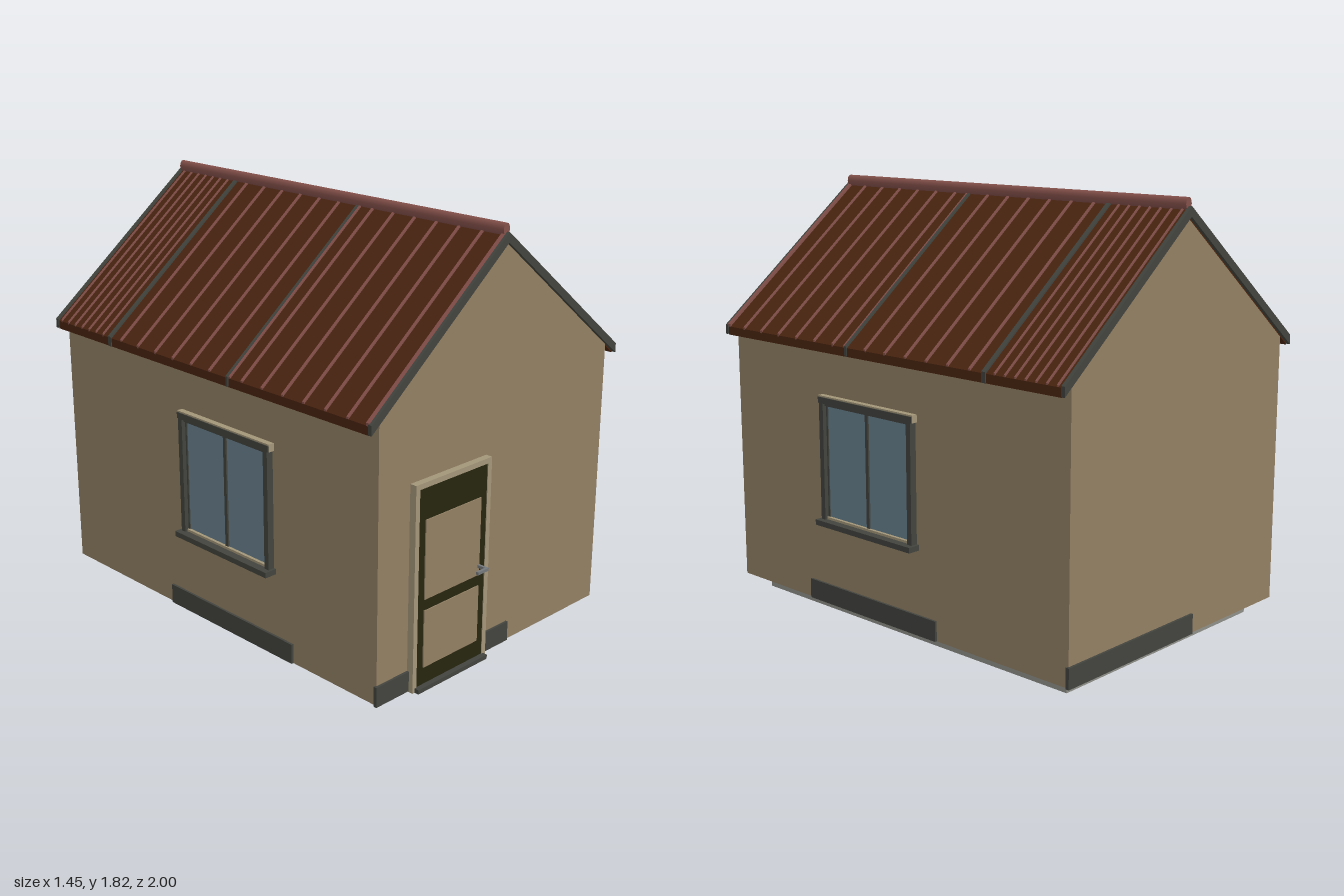
import * as THREE from 'three';

const mat = (name, color) => {
  const m = new THREE.MeshStandardMaterial({ color });
  m.name = name;
  return m;
};

export function createModel() {
  const house = new THREE.Group();
  house.name = 'house';

  const wall = mat('tan render', 0x927f63);
  const roofBrown = mat('brown roofing', 0x4a2410);
  const ridgeRed = mat('dusty red metal', 0x84504a);
  const grey = mat('dark grey trim', 0x42443e);
  const doorDark = mat('dark olive door', 0x26250f);
  const beige = mat('light beige frame', 0xa39679);
  const glass = mat('blue grey glass', 0x69818f);
  const stone = mat('grey stone', 0x8f8f88);
  const steel = mat('handle steel', 0x74777a);

  // Box given by its limits on each axis
  const box = (parent, name, m, x0, x1, y0, y1, z0, z1) => {
    const mesh = new THREE.Mesh(new THREE.BoxGeometry(x1 - x0, y1 - y0, z1 - z0), m);
    mesh.position.set((x0 + x1) / 2, (y0 + y1) / 2, (z0 + z1) / 2);
    mesh.name = name;
    parent.add(mesh);
    return mesh;
  };

  // Outline in x and y, extruded from z0 to z1
  const prism = (parent, name, m, pts, z0, z1) => {
    const shape = new THREE.Shape(pts.map(([x, y]) => new THREE.Vector2(x, y)));
    const geo = new THREE.ExtrudeGeometry(shape, { depth: z1 - z0, bevelEnabled: false });
    geo.translate(0, 0, z0);
    const mesh = new THREE.Mesh(geo, m);
    mesh.name = name;
    parent.add(mesh);
    return mesh;
  };

  // Gabled band following both roof slopes
  const SLOPE = 0.8;
  const chevron = (name, m, half, top, thick, z0, z1) => {
    const eave = top - half * SLOPE;
    return prism(roof, name, m, [
      [-half, eave - thick], [0, top - thick], [half, eave - thick],
      [half, eave], [0, top], [-half, eave],
    ], z0, z1);
  };

  // Foundation and walls
  box(house, 'foundation', stone, -0.59, 0.59, 0, 0.07, -0.91, 0.845);
  prism(house, 'walls', wall, [
    [-0.67, 0.065], [0.67, 0.065], [0.67, 1.22], [0, 1.755], [-0.67, 1.22],
  ], -0.985, 0.92);

  // Plinth boards
  box(house, 'frontPlinth', grey, -0.68, 0.09, 0.065, 0.15, 0.915, 0.93);
  box(house, 'backPlinth', grey, -0.09, 0.68, 0.065, 0.15, -0.995, -0.98);

  // Roof with verge trims, standing ribs and two seams
  const roof = new THREE.Group();
  roof.name = 'roof';
  house.add(roof);
  chevron('roofPanels', roofBrown, 0.72, 1.777, 0.036, -0.985, 0.92);
  chevron('frontVerge', grey, 0.724, 1.787, 0.04, 0.918, 0.935);
  chevron('backVerge', grey, 0.724, 1.787, 0.04, -1, -0.983);
  chevron('frontVergeCap', ridgeRed, 0.722, 1.79, 0.012, 0.905, 0.922);
  const rib = (z, w, m = ridgeRed) => chevron('roofRib', m, 0.72, 1.785, 0.012, z - w / 2, z + w / 2);
  for (let i = 0; i < 6; i++) rib(0.81 - i * 0.115, 0.011);
  for (let i = 0; i < 6; i++) rib(0.042 - i * 0.115, 0.011);
  for (let i = 0; i < 7; i++) rib(-0.66 - i * 0.0505, 0.007);
  rib(0.164, 0.009);
  chevron('seam', grey, 0.724, 1.787, 0.042, 0.145, 0.158);
  chevron('seam', grey, 0.724, 1.787, 0.042, -0.618, -0.598);

  // Ridge cap
  const ridge = new THREE.Mesh(new THREE.CylinderGeometry(0.018, 0.018, 1.905, 12), ridgeRed);
  ridge.rotation.x = Math.PI / 2;
  ridge.scale.z = 1.4;
  ridge.position.set(0, 1.795, -0.0325);
  ridge.name = 'ridgeCap';
  roof.add(ridge);

  // Windows and side plinths on both long walls
  for (const s of [1, -1]) {
    const win = new THREE.Group();
    win.name = s > 0 ? 'leftWindow' : 'rightWindow';
    house.add(win);
    const part = (name, m, x0, x1, y0, y1, z0, z1) =>
      box(win, name, m, s > 0 ? x0 : -x1, s > 0 ? x1 : -x0, y0, y1, z0, z1);
    part('sidePlinth', grey, 0.665, 0.68, 0.065, 0.15, -0.3, 0.46);
    part('windowSill', grey, 0.665, 0.725, 0.422, 0.445, -0.205, 0.362);
    part('sillStrip', beige, 0.665, 0.69, 0.445, 0.455, -0.17, 0.33);
    part('lintel', beige, 0.665, 0.696, 0.943, 0.975, -0.2, 0.36);
    part('lintelFace', grey, 0.696, 0.7, 0.943, 0.969, -0.198, 0.358);
    part('jamb', grey, 0.665, 0.7, 0.445, 0.943, 0.328, 0.352);
    part('jamb', grey, 0.665, 0.7, 0.445, 0.943, -0.192, -0.168);
    part('headRail', grey, 0.665, 0.69, 0.932, 0.943, -0.168, 0.328);
    part('mullion', grey, 0.665, 0.684, 0.455, 0.932, 0.072, 0.088);
    part('sashEdge', grey, 0.665, 0.682, 0.455, 0.932, 0.32, 0.328);
    part('sashEdge', grey, 0.665, 0.682, 0.455, 0.932, -0.168, -0.16);
    part('glassPane', glass, 0.668, 0.677, 0.455, 0.932, 0.088, 0.32);
    part('glassPane', glass, 0.668, 0.677, 0.455, 0.932, -0.16, 0.072);
  }

  // Front door
  const door = new THREE.Group();
  door.name = 'door';
  house.add(door);
  box(door, 'doorJamb', beige, -0.502, -0.48, 0.062, 0.922, 0.915, 0.95);
  box(door, 'doorJamb', beige, -0.095, -0.073, 0.062, 0.922, 0.915, 0.95);
  box(door, 'doorHead', beige, -0.48, -0.095, 0.9, 0.922, 0.915, 0.95);
  box(door, 'threshold', grey, -0.49, -0.085, 0.062, 0.08, 0.915, 0.97);
  box(door, 'doorLeaf', doorDark, -0.48, -0.095, 0.08, 0.9, 0.915, 0.947);
  box(door, 'upperPanel', wall, -0.445, -0.13, 0.442, 0.77, 0.946, 0.952);
  box(door, 'lowerPanel', wall, -0.445, -0.13, 0.153, 0.395, 0.946, 0.952);
  box(door, 'handleStem', steel, -0.142, -0.13, 0.476, 0.488, 0.947, 1);
  box(door, 'handleLever', steel, -0.192, -0.13, 0.476, 0.488, 0.988, 1);

  return house;
}
